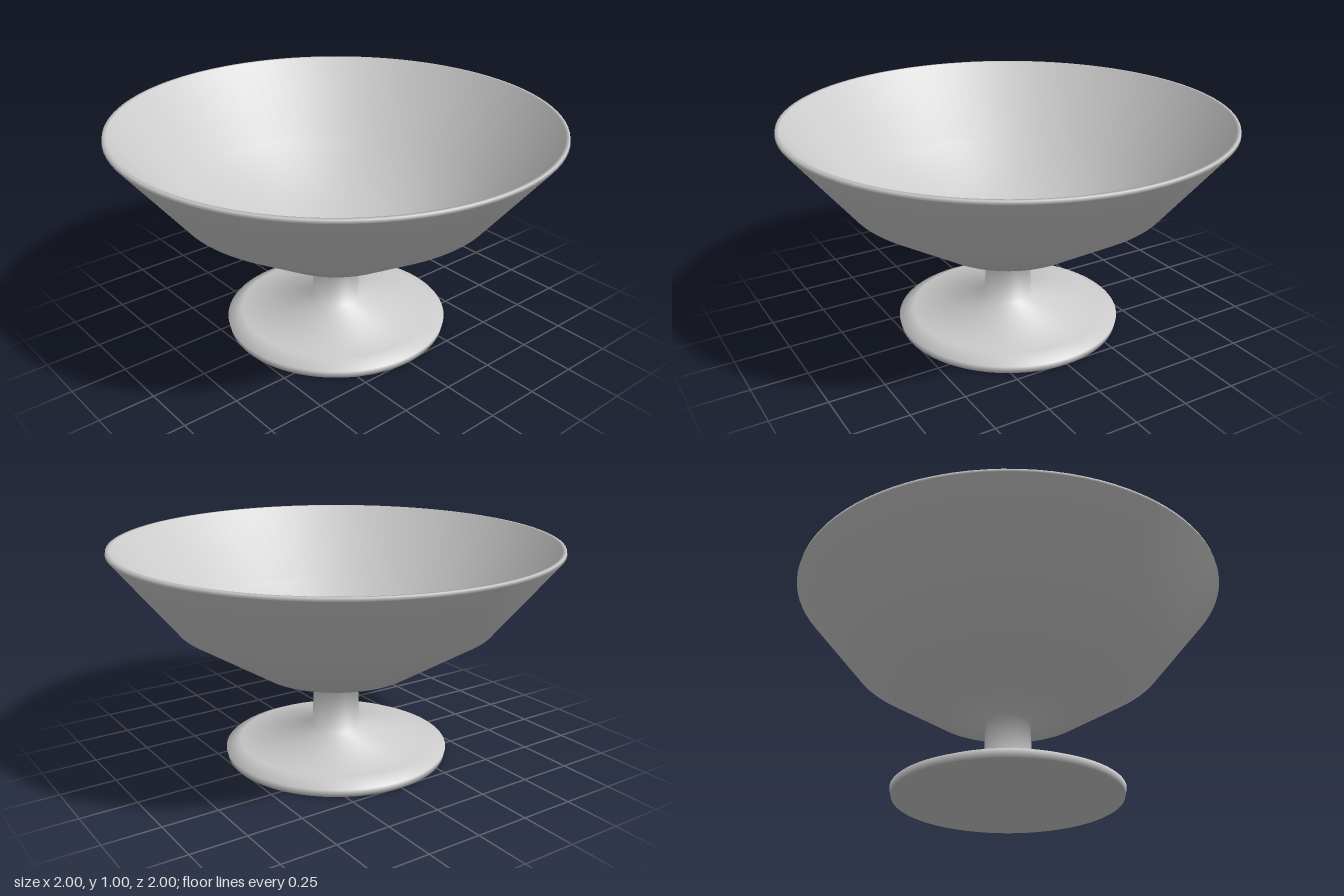
import * as THREE from 'three';

export function createModel() {
  const group = new THREE.Group();
  group.name = 'footedBowl';
  const material = new THREE.MeshStandardMaterial({ color: 0xcccccc });

  // One continuous turned profile [radius, height], smooth all the way round
  const profile = [
    // foot
    [0, 0], [0.51, 0], [0.517, 0.035], [0.45, 0.065],
    // stem
    [0.112, 0.125], [0.1, 0.368],
    // outer wall of the bowl
    [0.36, 0.415], [0.72, 0.642], [0.998, 0.985],
    // rim
    [0.995, 1], [0.978, 1],
    // inner wall of the bowl
    [0.7, 0.665], [0.35, 0.445], [0, 0.4],
  ].map(([r, y]) => new THREE.Vector2(r, y));

  const bowl = new THREE.Mesh(new THREE.LatheGeometry(profile, 96), material);
  bowl.name = 'bowlStemAndFoot';
  group.add(bowl);
  return group;
}
